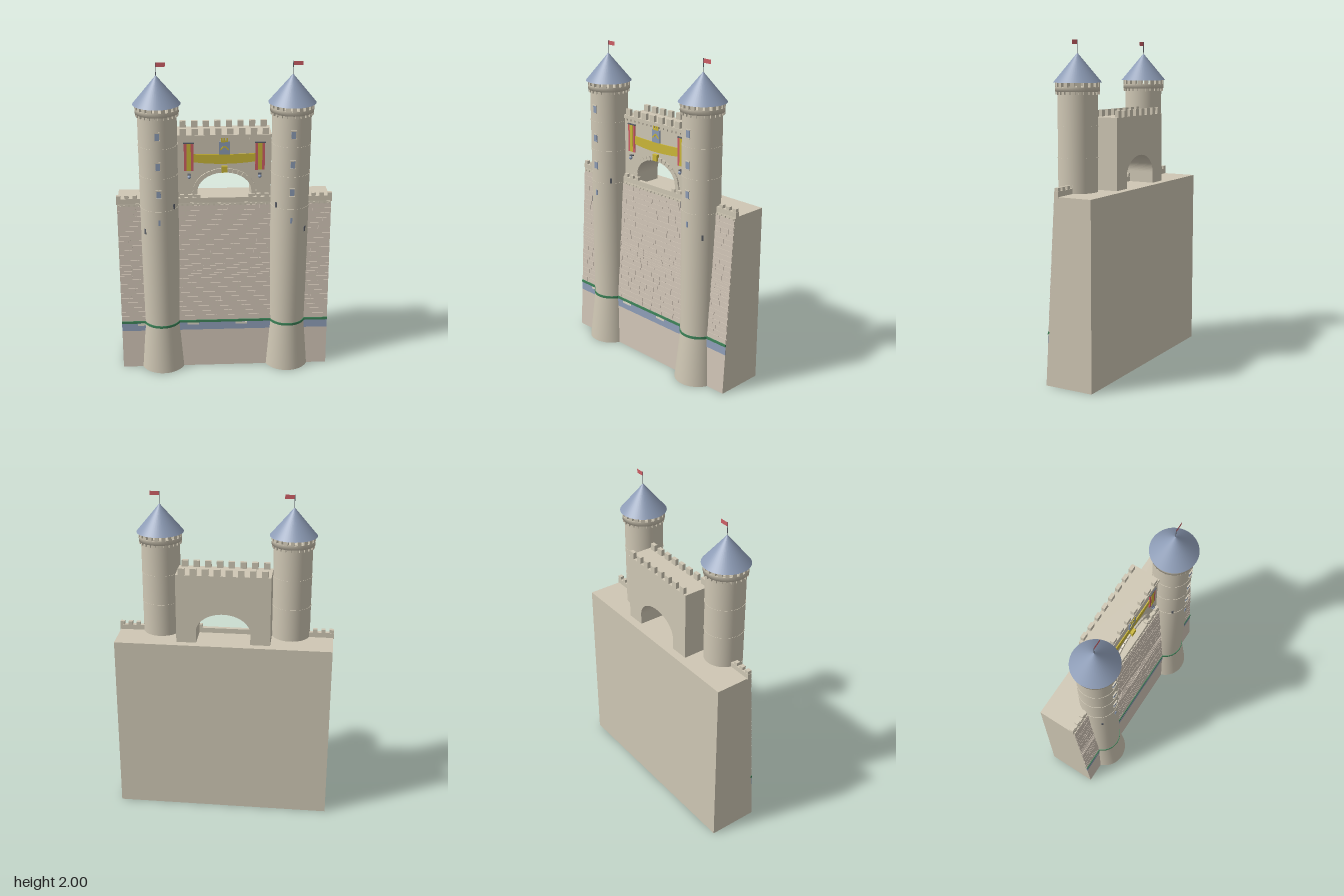
import * as THREE from 'three';
import { mergeGeometries } from 'three/addons/utils/BufferGeometryUtils.js';

const mat = (name, color, side = THREE.FrontSide) => {
  const m = new THREE.MeshStandardMaterial({ color, side });
  m.name = name;
  return m;
};

// Box centred at a point, optionally tilted about x and turned about y
function block(w, h, d, x, y, z, rx = 0, ry = 0, rz = 0) {
  return new THREE.BoxGeometry(w, h, d).rotateZ(rz).rotateX(rx).rotateY(ry).translate(x, y, z);
}

export function createModel() {
  const stone = mat('stone', 0xcfc7b4);
  const brick = mat('wall stone', 0xd0c4b6);
  const blue = mat('slate blue', 0x8d9cb6);
  const red = mat('red', 0xcf5f66, THREE.DoubleSide);
  const yellow = mat('gold', 0xccb838);
  const green = mat('moss green', 0x3d8258);
  const dark = mat('dark slit', 0x5c6068);
  const cream = mat('foam', 0xd9d3c4);

  const root = new THREE.Group();
  root.name = 'castleGate';
  const add = (name, geo, material, parent = root) => {
    const m = new THREE.Mesh(Array.isArray(geo) ? mergeGeometries(geo) : geo, material);
    m.name = name;
    parent.add(m);
    return m;
  };

  // ---- Battered curtain wall ----
  const W = 0.66, H = 1.12, zBase = 0.108, zTop = 0.04;
  const tilt = -Math.atan((zBase - zTop) / H);
  const wallZ = y => zBase + (zTop - zBase) * y / H;
  const onWall = (w, h, d, x, y) => block(w, h, d, x, y, wallZ(y), tilt);

  const side = new THREE.Shape([[-0.2, 0], [zBase, 0], [zTop, H], [-0.2, H]].map(p => new THREE.Vector2(...p)));
  add('curtainWall', new THREE.ExtrudeGeometry(side, { depth: 2 * W, bevelEnabled: false })
    .rotateY(-Math.PI / 2).translate(W, 0, 0), stone);
  add('wallFootFace', onWall(2 * W, 0.258, 0.002, 0, 0.13), brick);

  // Stone courses of uneven length
  let seed = 7;
  const rnd = () => (seed = (seed * 16807) % 2147483647) / 2147483647;
  const courses = [], rows = 24, y0 = 0.328, rowH = (1.105 - y0) / rows;
  for (let r = 0; r < rows; r++) {
    let x = -W;
    while (x < W - 0.001) {
      let w = 0.05 + 0.07 * rnd();
      if (W - x - w < 0.04) w = W - x;
      courses.push(onWall(w - 0.002, rowH - 0.002, 0.005 + 0.003 * rnd(), x + w / 2, y0 + (r + 0.5) * rowH));
      x += w;
    }
  }
  add('stoneCourses', courses, brick);
  add('stringCourses', [0.637, 0.67, 0.702].map(y => onWall(2 * W, 0.004, 0.011, 0, y)), brick);

  // Water line with foam patches and a moss band
  add('waterBand', onWall(2 * W, 0.052, 0.006, 0, 0.284), blue);
  add('foamPatches', [-0.52, -0.205, 0.105, 0.42].map(x => onWall(0.075, 0.014, 0.009, x, 0.301)), cream);
  add('mossBand', onWall(2 * W, 0.015, 0.014, 0, 0.318), green);

  // Wall parapet, merlons and corbels
  const parapet = [block(2 * W + 0.01, 0.038, 0.026, 0, 1.132, 0.026)];
  for (const s of [-1, 1]) {
    for (let i = 0; i < 4; i++) parapet.push(block(0.026, 0.022, 0.024, s * (0.65 - i * 0.05), 1.16, 0.026));
    for (let i = 0; i < 3; i++) parapet.push(block(0.026, 0.022, 0.024, s * (0.26 - i * 0.05), 1.16, 0.026));
  }
  for (let x = -0.65; x < 0.66; x += 0.0325) parapet.push(block(0.012, 0.012, 0.016, x, 1.108, 0.038));
  add('wallParapet', parapet, stone);

  // ---- Gatehouse with an arched passage ----
  const gate = new THREE.Group();
  gate.name = 'gatehouse';
  root.add(gate);
  const GW = 0.285, gTop = 1.55, gz = 0.018, aw = 0.165, spring = 1.19, rise = 0.12;
  const front = new THREE.Shape();
  front.moveTo(-GW, H);
  front.lineTo(-aw, H);
  front.lineTo(-aw, spring);
  front.absellipse(0, spring, aw, rise, Math.PI, 0, true, 0);
  front.lineTo(aw, H);
  front.lineTo(GW, H);
  front.lineTo(GW, gTop);
  front.lineTo(-GW, gTop);
  add('gateBody', new THREE.ExtrudeGeometry(front, { depth: gz + 0.15, bevelEnabled: false, curveSegments: 24 })
    .translate(0, 0, -0.15), stone, gate);

  // Arch stones and jambs
  const arch = [];
  const N = 17;
  for (let i = 0; i < N; i++) {
    const a = Math.PI * (i + 0.5) / N;
    const x = Math.cos(a), y = Math.sin(a);
    const slope = Math.atan2(y / rise, x / aw);
    arch.push(block(0.026, 0.028, 0.012, x * (aw + 0.013), spring + y * (rise + 0.013), gz + 0.004, 0, 0, slope));
  }
  for (const s of [-1, 1]) for (let i = 0; i < 3; i++) {
    arch.push(block(i % 2 ? 0.024 : 0.032, 0.022, 0.012, s * (aw + (i % 2 ? 0.012 : 0.016)), 1.131 + i * 0.024, gz + 0.004));
  }
  add('archStones', arch, stone, gate);
  add('keystone', block(0.036, 0.04, 0.022, 0, 1.333, gz + 0.01), yellow, gate);

  // Battlements front and back
  const crown = [block(2 * GW, 0.02, 0.014, 0, 1.54, gz + 0.003)];
  for (let i = 0; i < 8; i++) {
    const x = (i - 3.5) * 0.071;
    for (const z of [-0.139, gz - 0.004]) crown.push(block(0.038, 0.04, 0.022, x, 1.57, z));
  }
  for (let i = 0; i < 16; i++) crown.push(block(0.015, 0.016, 0.012, (i - 7.5) * 0.0355, 1.524, gz + 0.003));
  add('gateBattlements', crown, stone, gate);

  // Banners, sash, lanterns and shield
  for (const s of [-1, 1]) {
    add('banner', block(0.058, 0.175, 0.008, s * 0.216, 1.412, gz + 0.006), red, gate);
    add('bannerStripe', block(0.026, 0.172, 0.004, s * 0.216, 1.412, gz + 0.01), yellow, gate);
    add('bannerRod', block(0.066, 0.006, 0.012, s * 0.216, 1.5, gz + 0.007), dark, gate);
    add('lantern', new THREE.SphereGeometry(0.011, 12, 8).translate(s * 0.215, 1.287, gz + 0.018), blue, gate);
    add('lanternCap', block(0.02, 0.006, 0.022, s * 0.215, 1.301, gz + 0.011), dark, gate);
  }
  const cloth = new THREE.Shape();
  cloth.moveTo(-0.187, 1.43);
  cloth.quadraticCurveTo(0, 1.42, 0.187, 1.43);
  cloth.lineTo(0.187, 1.378);
  cloth.quadraticCurveTo(0, 1.352, -0.187, 1.378);
  add('sash', new THREE.ExtrudeGeometry(cloth, { depth: 0.006, bevelEnabled: false }).translate(0, 0, gz), yellow, gate);
  add('shield', block(0.066, 0.08, 0.008, 0, 1.467, gz + 0.006), blue, gate);
  const trim = [block(0.044, 0.01, 0.004, 0, 1.51, gz + 0.011)];
  for (const s of [-1, 1]) trim.push(block(0.034, 0.008, 0.004, s * 0.013, 1.468, gz + 0.011, 0, 0, -s * 0.75));
  for (const x of [-0.017, 0, 0.017]) trim.push(block(0.009, 0.018, 0.004, x, 1.522, gz + 0.011));
  add('shieldTrim', trim, yellow, gate);

  // ---- Round towers ----
  const R = 0.117, TZ = 0.045;
  for (const s of [-1, 1]) {
    const t = new THREE.Group();
    t.name = s > 0 ? 'leftTower' : 'rightTower';
    t.position.set(s * 0.4, 0, TZ);
    root.add(t);
    const cyl = (rt, rb, ya, yb, open = false) =>
      new THREE.CylinderGeometry(rt, rb, yb - ya, 48, 1, open).translate(0, (ya + yb) / 2, 0);
    // Point on the shaft at an angle from the front
    const around = (w, h, d, r, a, y) => block(w, h, d, r * Math.sin(a), y, r * Math.cos(a), 0, a);

    // Splayed foot leans slightly forward
    const foot = cyl(R, 0.143, 0, 0.312);
    const p = foot.attributes.position;
    for (let i = 0; i < p.count; i++) if (p.getY(i) < 0.1) p.setZ(i, p.getZ(i) + 0.012);
    add('towerFoot', foot, stone, t);
    add('towerShaft', cyl(R, R, 0.312, 1.715), stone, t);
    add('towerMossRing', cyl(R + 0.004, R + 0.004, 0.31, 0.326), green, t);
    add('towerBands', [1.11, 1.32, 1.505].map(y => cyl(R + 0.002, R + 0.002, y - 0.003, y + 0.003)), stone, t);

    // Gallery under the roof
    const ring = [[0.1, 1.703], [0.13, 1.703], [0.13, 1.73], [0.13, 1.73], [0.108, 1.73], [0.108, 1.703]];
    add('gallery', new THREE.LatheGeometry(ring.map(q => new THREE.Vector2(...q)), 48).toNonIndexed(), stone, t);
    const teeth = [];
    for (let i = 0; i < 24; i++) {
      const a = (i + 0.5) * Math.PI / 12;
      teeth.push(around(0.016, 0.018, 0.016, R + 0.003, a, 1.695));
      if (i % 24 < 20) teeth.push(around(0.023, 0.028, 0.018, 0.121, i * Math.PI / 10, 1.743));
    }
    add('galleryTeeth', teeth, stone, t);

    // Conical roof, pole and flag
    add('roof', new THREE.ConeGeometry(0.142, 0.17, 48).translate(0, 1.84, 0), blue, t);
    add('flagPole', new THREE.CylinderGeometry(0.002, 0.002, 0.085, 6).translate(0, 1.9575, 0), dark, t);
    add('flag', new THREE.PlaneGeometry(0.056, 0.025).translate(0.029, 1.9865, 0), red, t);

    // Windows with sills, and arrow slits
    const ys = [1.587, 1.402, 1.225];
    add('windows', [...ys.map(y => around(0.026, 0.044, 0.008, R, 0, y)),
      around(0.012, 0.034, 0.008, R, 0, 1.042)], blue, t);
    add('windowSills', ys.flatMap(y => [-1, 1].map(k => around(0.034, 0.005, 0.014, R, 0, y + k * 0.0245))), stone, t);
    add('arrowSlits', [around(0.012, 0.034, 0.006, R, s * 0.84, 0.97),
      around(0.012, 0.034, 0.006, R, -s * 0.87, 1.13)], dark, t);
  }
  return root;
}
